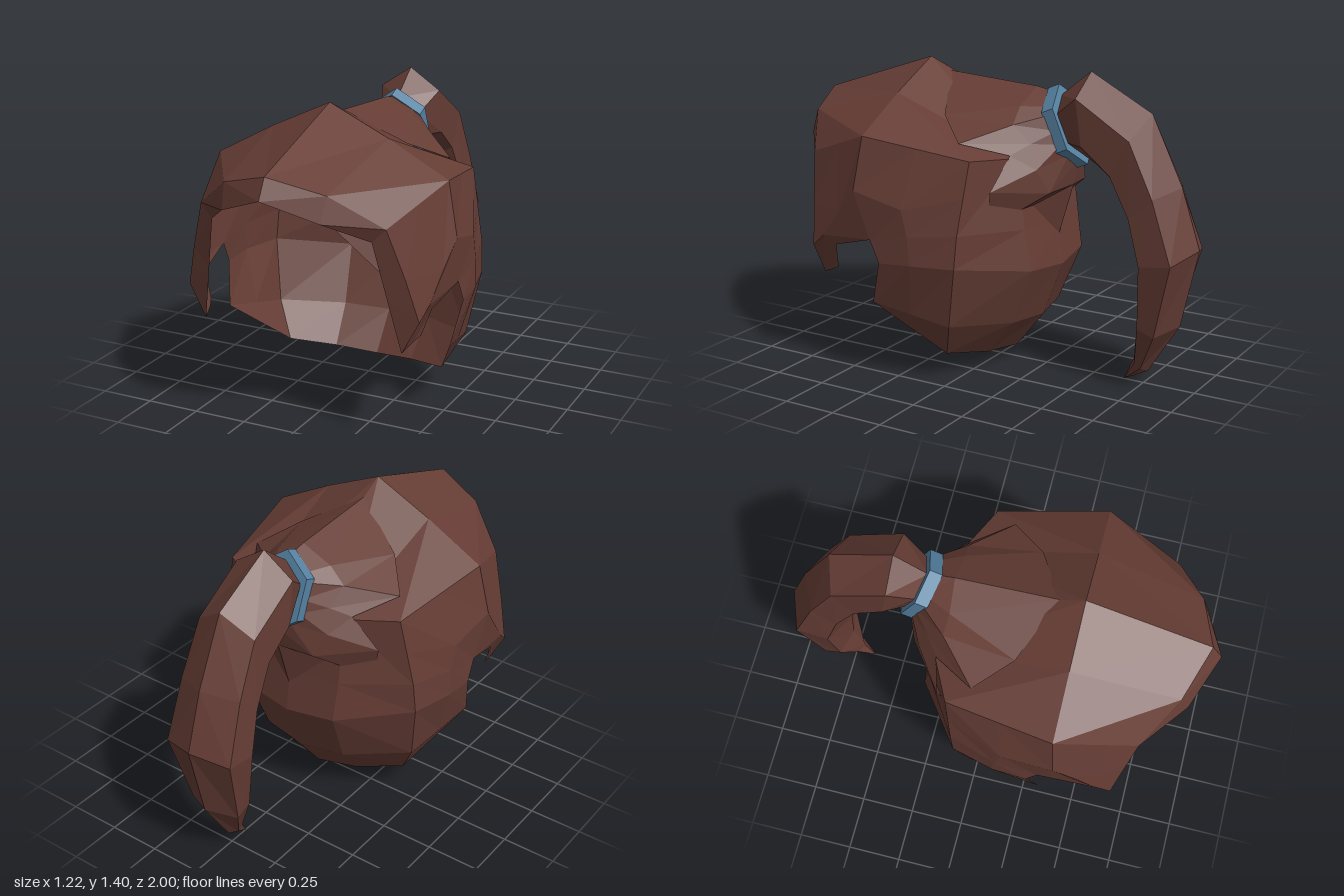
import * as THREE from 'three';

// Flat-shaded mesh from rows of [x, y, z] points, mirrored across x
function sheet(name, material, grids) {
  const pos = [];
  const tri = (a, b, c) => {
    pos.push(...a, ...b, ...c);
    for (const p of [a, c, b]) pos.push(-p[0], p[1], p[2]);
  };
  for (const rows of grids) {
    for (let i = 0; i < rows.length - 1; i++) {
      for (let j = 0; j < rows[i].length - 1; j++) {
        const a = rows[i][j], b = rows[i][j + 1], c = rows[i + 1][j + 1], d = rows[i + 1][j];
        tri(a, b, c);
        tri(a, c, d);
      }
    }
  }
  const geo = new THREE.BufferGeometry();
  geo.setAttribute('position', new THREE.Float32BufferAttribute(pos, 3));
  geo.computeVertexNormals();
  const mesh = new THREE.Mesh(geo, material);
  mesh.name = name;
  return mesh;
}

export function createModel() {
  const hair = new THREE.MeshStandardMaterial({ color: 0x663d35, side: THREE.DoubleSide, flatShading: true });
  hair.name = 'brown hair';
  const blue = new THREE.MeshStandardMaterial({ color: 0x5682a2, flatShading: true });
  blue.name = 'blue band';
  const group = new THREE.Group();
  group.name = 'ponytailHair';

  // Crown and back of the head, from the fringe over the crest down to the nape
  const crown = [
    [[0, 1.21, 0.95], [0.24, 1.14, 0.87], [0.44, 0.99, 0.74]],
    [[0, 1.4, 0.38], [0.28, 1.27, 0.38], [0.56, 1.12, 0.38]],
    [[0, 1.07, -0.25], [0.25, 1.03, -0.23], [0.47, 1.045, -0.12]],
    [[0, 0.7, -0.3], [0.25, 0.71, -0.27], [0.53, 0.72, -0.09]],
    [[0, 0.5, -0.33], [0.24, 0.52, -0.3], [0.54, 0.57, -0.08]],
    [[0, 0.24, -0.23], [0.22, 0.25, -0.19], [0.49, 0.28, -0.02]],
    [[0, 0.06, -0.09], [0.2, 0.08, -0.05], [0.4, 0.115, 0.05]],
  ];
  group.add(sheet('crownAndBack', hair, [crown]));

  // Sides, with the notch for the ear between the back hair and the sideburn
  const upperSide = [
    [[0.47, 1.045, -0.12], [0.515, 1.0825, 0.13], [0.56, 1.12, 0.38], [0.5, 1.055, 0.56], [0.44, 0.99, 0.74]],
    [[0.5, 0.8825, -0.105], [0.59, 0.82, 0.16], [0.61, 0.88, 0.4], [0.59, 0.76, 0.5], [0.51, 0.77, 0.7]],
    [[0.53, 0.72, -0.09], [0.59, 0.7, 0.13], [0.59, 0.66, 0.33], [0.575, 0.64, 0.6], [0.56, 0.58, 0.67]],
  ];
  const lowerSide = [
    [[0.53, 0.72, -0.09], [0.59, 0.7, 0.13], [0.59, 0.66, 0.33]],
    [[0.54, 0.57, -0.08], [0.59, 0.57, 0.12], [0.595, 0.56, 0.28]],
    [[0.49, 0.28, -0.02], [0.525, 0.32, 0.16], [0.56, 0.36, 0.34]],
    [[0.4, 0.115, 0.05], [0.4, 0.115, 0.05], [0.4, 0.115, 0.05]],
  ];
  const notchTop = [
    [[0.59, 0.66, 0.33], [0.575, 0.64, 0.6]],
    [[0.585, 0.66, 0.43], [0.56, 0.6, 0.54]],
  ];
  const sideburn = [
    [[0.56, 0.6, 0.54], [0.575, 0.64, 0.6], [0.56, 0.58, 0.67]],
    [[0.52, 0.48, 0.56], [0.5, 0.46, 0.6], [0.48, 0.43, 0.67]],
  ];
  group.add(sheet('sides', hair, [upperSide, lowerSide, notchTop, sideburn]));

  // Turned-in front edge of the fringe
  const lip = [
    [[0, 1.12, 1.0], [0.23, 1.03, 0.91], [0.38, 0.93, 0.75], [0.43, 0.68, 0.71], [0.48, 0.43, 0.67]],
    [[0, 1.21, 0.95], [0.24, 1.14, 0.87], [0.44, 0.99, 0.74], [0.51, 0.77, 0.7], [0.56, 0.58, 0.67]],
  ];
  group.add(sheet('fringeEdge', hair, [lip]));

  // Swept strands gathered into the band, spreading out in pointed tips
  const gather = [
    [[0, 1.342, 0.27], [0.26, 1.19, 0.14], [0.4, 1.1, -0.02], [0.28, 1.045, -0.21],
      [0.4, 0.9, -0.18], [0.36, 0.72, -0.14], [0, 0.38, -0.23]],
    [[0, 1.31, -0.19], [0.14, 1.24, -0.18], [0.22, 1.17, -0.19], [0.2, 1.09, -0.27],
      [0.22, 0.98, -0.31], [0.17, 0.87, -0.35], [0, 0.88, -0.38]],
    [[0, 1.29, -0.29], [0.08, 1.24, -0.31], [0.11, 1.21, -0.32], [0.11, 1.14, -0.35],
      [0.11, 1.08, -0.37], [0.07, 1.03, -0.39], [0, 1.0, -0.405]],
  ];
  group.add(sheet('gatheredStrands', hair, [gather]));

  // Six-sided hair band, tilted back
  const bandGeo = new THREE.CylinderGeometry(1, 1, 0.06, 6);
  bandGeo.scale(0.15, 1, 0.19);
  const band = new THREE.Mesh(bandGeo, blue);
  band.name = 'hairBand';
  band.position.set(0, 1.143, -0.347);
  band.rotation.x = Math.atan2(-0.92, 0.39);
  group.add(band);

  // Ponytail: outer ridge, side edge, inner side edge and inner ridge as [z, y], then half width
  const sections = [
    [[-0.31, 1.28], [-0.34, 1.21], [-0.4, 1.09], [-0.41, 1.03], 0.1],
    [[-0.46, 1.4], [-0.46, 1.3], [-0.49, 1.09], [-0.5, 0.98], 0.15],
    [[-0.76, 1.24], [-0.72, 1.14], [-0.63, 0.98], [-0.6, 0.9], 0.15],
    [[-0.91, 0.93], [-0.84, 0.9], [-0.73, 0.8], [-0.69, 0.69], 0.16],
    [[-1.0, 0.66], [-0.94, 0.62], [-0.79, 0.6], [-0.73, 0.49], 0.175],
    [[-0.92, 0.3], [-0.85, 0.27], [-0.77, 0.3], [-0.74, 0.28], 0.13],
    [[-0.77, 0.06], [-0.75, 0.08], [-0.72, 0.1], [-0.7, 0.11], 0.04],
    [[-0.65, 0], [-0.65, 0], [-0.65, 0], [-0.65, 0], 0],
  ];
  const tail = sections.map(([o, m, n, i, w]) => [
    [0, o[1], o[0]], [w, m[1], m[0]], [w, n[1], n[0]], [0, i[1], i[0]],
  ]);
  group.add(sheet('ponytail', hair, [tail]));

  return group;
}
